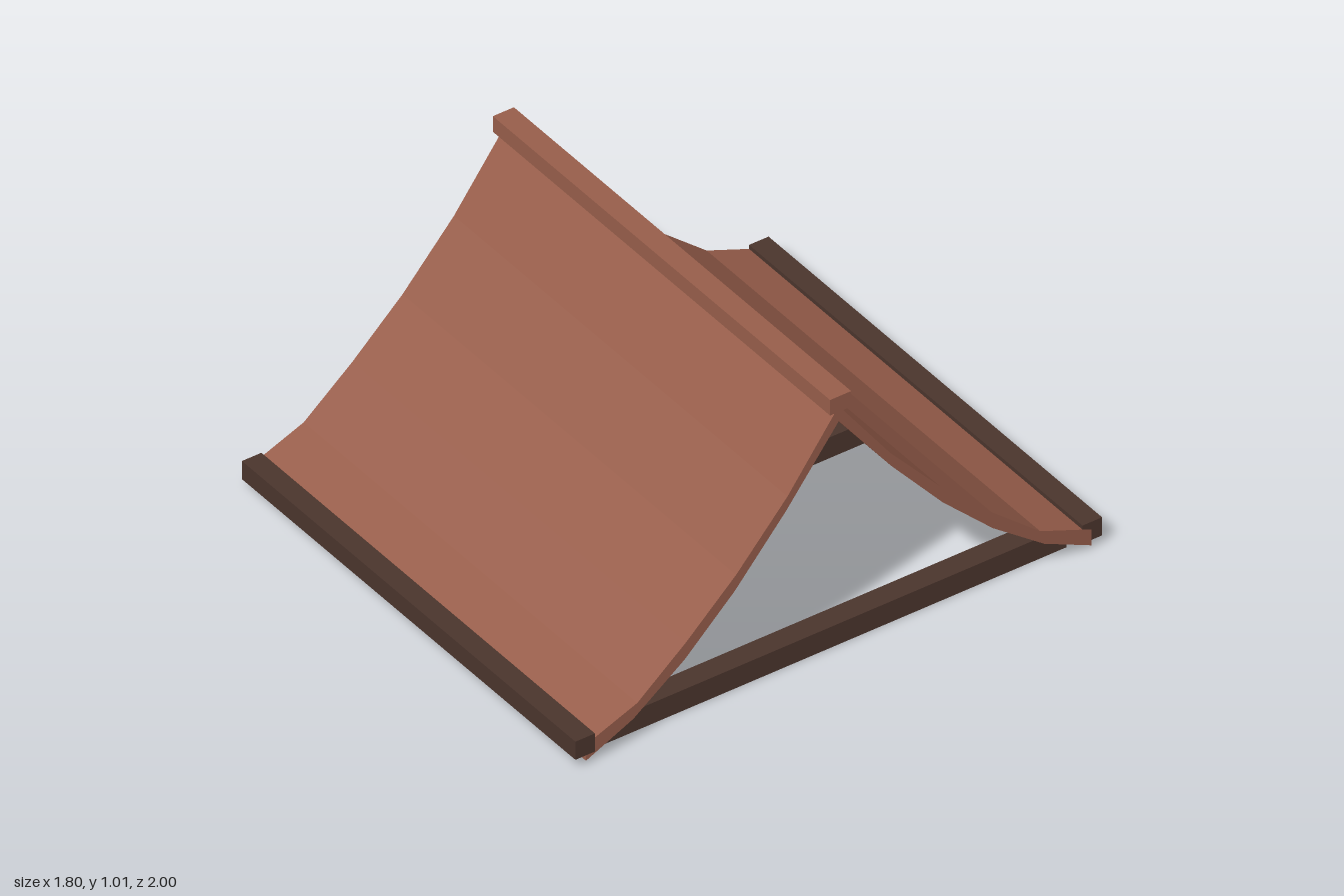
import * as THREE from 'three';

export function createModel() {
  const group = new THREE.Group();
  const clay = new THREE.MeshStandardMaterial({ color: 0x985e4b });
  clay.name = 'reddish brown roof';
  const timber = new THREE.MeshStandardMaterial({ color: 0x4b352d });
  timber.name = 'dark brown timber';

  const addMesh = (name, geometry, material, x = 0, y = 0, z = 0) => {
    const mesh = new THREE.Mesh(geometry, material);
    mesh.name = name;
    mesh.position.set(x, y, z);
    group.add(mesh);
  };

  // Curved roof: half profile as [z, y], mirrored about the ridge
  const width = 1.78;
  const upper = [[0, 0.968], [0.195, 0.703], [0.39, 0.485], [0.58, 0.307], [0.765, 0.153], [0.96, 0.076]];
  const lower = [[0, 0.91], [0.2, 0.65], [0.395, 0.425], [0.585, 0.243], [0.78, 0.098], [0.96, 0.014]];
  const mirror = (points) => points.slice(1).map(([z, y]) => [-z, y]);
  const outline = [
    ...mirror(upper).reverse(), ...upper,
    ...[...lower].reverse(), ...mirror(lower),
  ];
  const shape = new THREE.Shape(outline.map(([z, y]) => new THREE.Vector2(z, y)));
  const roof = new THREE.ExtrudeGeometry(shape, { depth: width, bevelEnabled: false });
  roof.translate(0, 0, -width / 2);
  roof.rotateY(-Math.PI / 2);
  addMesh('roofSlopes', roof, clay);

  // Ridge cap
  addMesh('ridgeCap', new THREE.BoxGeometry(1.8, 0.06, 0.08), clay, 0, 0.985, 0);

  // Eave beams along the front and back edges
  for (const side of [1, -1]) {
    addMesh(side > 0 ? 'frontEaveBeam' : 'backEaveBeam',
      new THREE.BoxGeometry(width, 0.07, 0.074), timber, 0, 0.07, side * 0.963);
  }

  // Cross ties on the ground
  for (const [name, x] of [['leftTie', 0.8], ['middleTie', 0], ['rightTie', -0.8]]) {
    addMesh(name, new THREE.BoxGeometry(0.08, 0.08, 1.8), timber, x, 0.042, 0);
  }

  return group;
}
